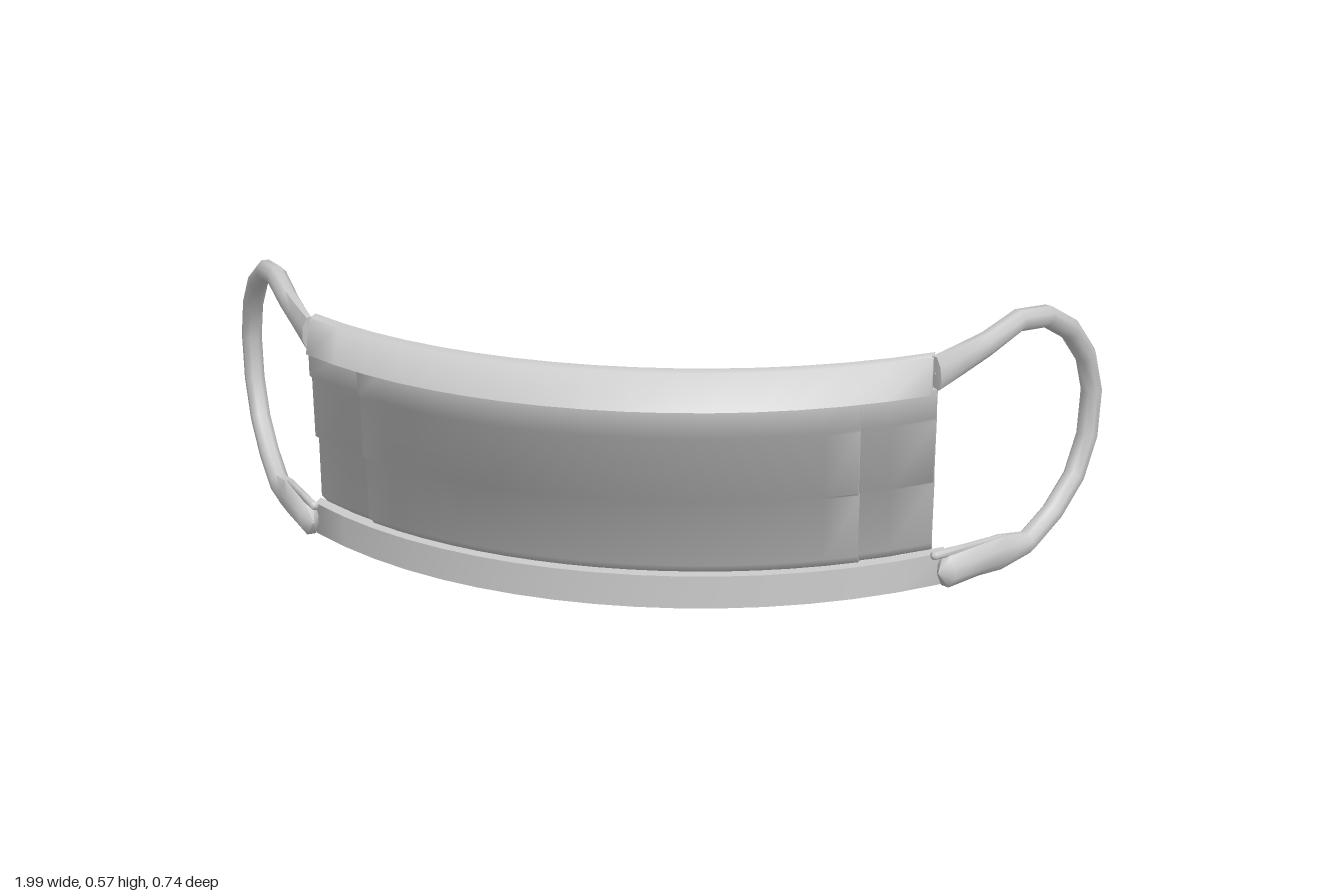
import * as THREE from 'three';
import { toCreasedNormals } from 'three/addons/utils/BufferGeometryUtils.js';

const fabric = new THREE.MeshStandardMaterial({ color: 0xcccccc });
fabric.name = 'lightGreyFabric';

// How far the mask falls back from its middle at a given x
const fallBack = (x) => 0.47 * x * x + 0.13 * x ** 4;

// Sweep a closed [z, y] profile sideways along the curve of the face
function band(name, profile, halfWidth) {
  const shape = new THREE.Shape(profile.map(([z, y]) => new THREE.Vector2(z, y)));
  const geo = new THREE.ExtrudeGeometry(shape, { depth: 2 * halfWidth, steps: 16, bevelEnabled: false });
  geo.translate(0, 0, -halfWidth).rotateY(-Math.PI / 2);
  const p = geo.attributes.position;
  for (let i = 0; i < p.count; i++) p.setZ(i, p.getZ(i) - fallBack(p.getX(i)));
  const mesh = new THREE.Mesh(toCreasedNormals(geo, 1.3), fabric);
  mesh.name = name;
  return mesh;
}

// Sweep an oval along a path in the slanted ear plane.
// Path entries: [z, y, half height in the plane, half thickness across it]
function strap(name, path, side) {
  const SIDES = 8, slope = 0.687, len = Math.hypot(1, slope);
  const u = new THREE.Vector3(slope / len, 0, -1 / len);
  const across = new THREE.Vector3(1 / len, 0, slope / len);
  const pos = [], index = [];
  path.forEach(([z, y, h, t], i) => {
    const a = path[Math.max(i - 1, 0)], b = path[Math.min(i + 1, path.length - 1)];
    const tangent = new THREE.Vector2((a[0] - b[0]) * len, b[1] - a[1]).normalize();
    const inPlane = u.clone().multiplyScalar(-tangent.y);
    inPlane.y = tangent.x;
    for (let j = 0; j < SIDES; j++) {
      const angle = (j + 0.5) / SIDES * Math.PI * 2;
      const v = new THREE.Vector3(0.7 + (0.05 - z) * slope, y, z)
        .addScaledVector(inPlane, Math.cos(angle) * h * 1.06)
        .addScaledVector(across, Math.sin(angle) * t * 1.06);
      pos.push(v.x * side, v.y, v.z);
      if (i === path.length - 1) continue;
      const p = i * SIDES + j, q = i * SIDES + (j + 1) % SIDES;
      const r = p + SIDES, s = q + SIDES;
      index.push(...(side > 0 ? [p, q, r, q, s, r] : [p, r, q, q, r, s]));
    }
  });
  const geo = new THREE.BufferGeometry();
  geo.setAttribute('position', new THREE.Float32BufferAttribute(pos, 3));
  geo.setIndex(index);
  const mesh = new THREE.Mesh(toCreasedNormals(geo, 1.0), fabric);
  mesh.name = name;
  return mesh;
}

export function createModel() {
  const group = new THREE.Group();
  group.name = 'faceMask';

  // Stepped pleats, from top to bottom
  const pleats = [
    [0.345, 0.466], [0.345, 0.405], [0.33, 0.394], [0.326, 0.26],
    [0.305, 0.249], [0.304, 0.115], [0.27, 0.088],
  ];
  const shifted = (dz) => pleats.map(([z, y]) => [z + dz, y]);
  const lining = [
    [0.25, 0.086], [0.27, 0.115], [0.275, 0.25], [0.29, 0.26],
    [0.295, 0.395], [0.305, 0.405], [0.308, 0.466],
  ];
  group.add(band('pleatedBody', [...shifted(-0.008), ...lining].reverse(), 0.667));
  group.add(band('frontPanel', [...pleats, ...shifted(-0.012).reverse()].reverse(), 0.525));

  // Slanted nose band and upright chin band
  group.add(band('noseBand', [[0.3, 0.535], [0.306, 0.465], [0.37, 0.465], [0.335, 0.535]], 0.658));
  group.add(band('chinBand', [[0.26, 0.087], [0.26, 0.016], [0.295, 0.016], [0.295, 0.087]], 0.69));

  // Ear loops with flattened ends
  const loop = [
    [0.105, 0.5, 0.001, 0.001], [0.104, 0.5, 0.038, 0.014], [0.04, 0.513, 0.032, 0.018],
    [-0.03, 0.528, 0.026, 0.02], [-0.115, 0.557, 0.023, 0.022], [-0.195, 0.547, 0.023, 0.022],
    [-0.267, 0.5, 0.023, 0.022], [-0.321, 0.428, 0.023, 0.022], [-0.347, 0.342, 0.023, 0.022],
    [-0.343, 0.238, 0.023, 0.022], [-0.311, 0.151, 0.023, 0.022], [-0.252, 0.085, 0.024, 0.022],
    [-0.178, 0.038, 0.025, 0.022], [-0.1, 0.042, 0.038, 0.024], [-0.03, 0.049, 0.035, 0.028],
    [0.05, 0.051, 0.036, 0.024], [0.07, 0.051, 0.001, 0.001],
  ];
  // Thin fold running from the lowest pleat to the loop
  const fold = [
    [0.09, 0.098, 0.001, 0.001], [0.085, 0.097, 0.009, 0.009],
    [0, 0.085, 0.009, 0.008], [-0.1, 0.074, 0.008, 0.008],
  ];
  for (const [label, side] of [['left', 1], ['right', -1]]) {
    group.add(strap(label + 'EarLoop', loop, side));
    group.add(strap(label + 'LowerFold', fold, side));
  }
  return group;
}
